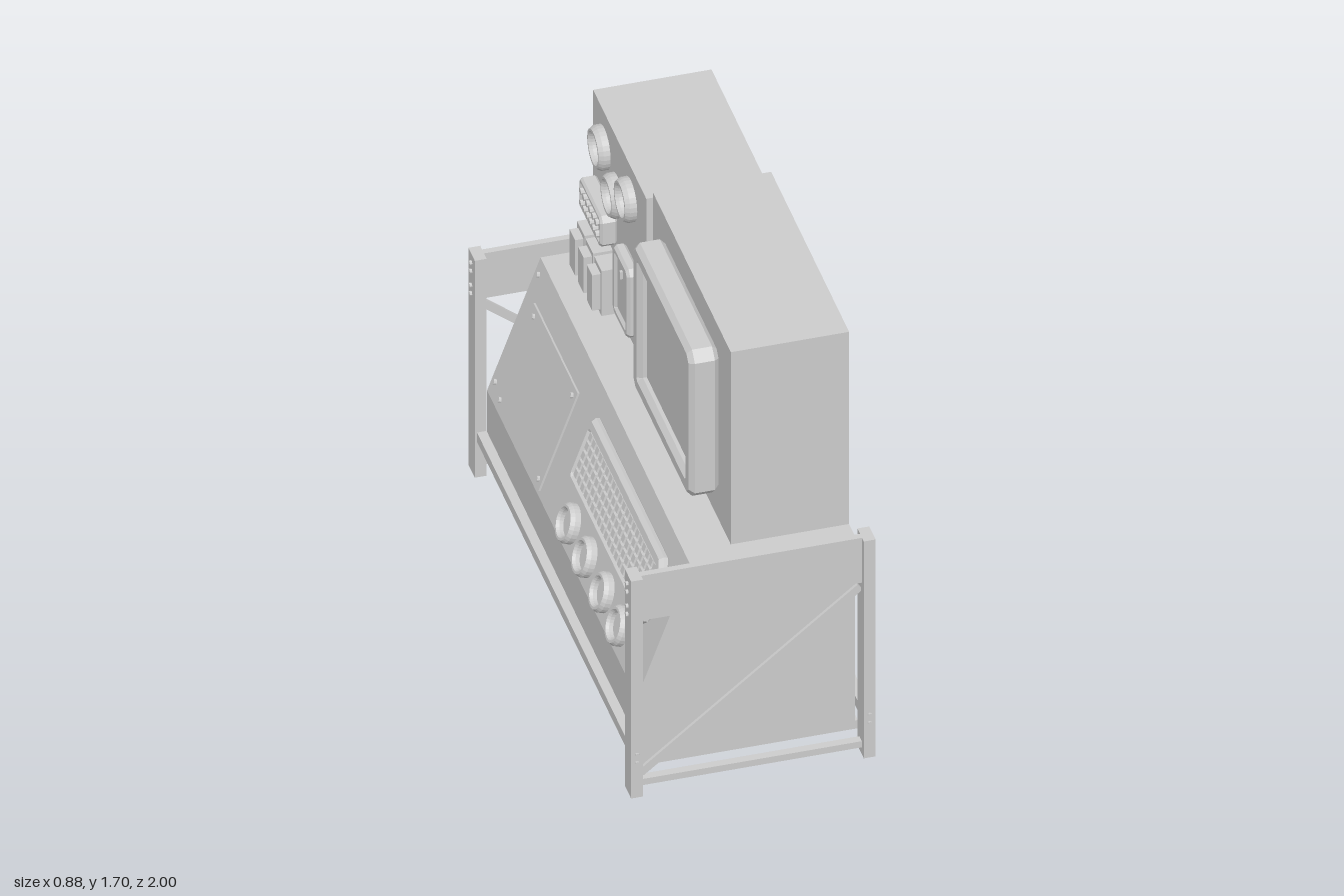
import * as THREE from 'three';

const grey = new THREE.MeshStandardMaterial({ color: 0xcccccc, flatShading: true });
const smooth = new THREE.MeshStandardMaterial({ color: 0xcccccc });

function add(parent, name, geometry, x = 0, y = 0, z = 0, material = grey) {
  const mesh = new THREE.Mesh(geometry, material);
  mesh.name = name;
  mesh.position.set(x, y, z);
  parent.add(mesh);
  return mesh;
}

// Box given by its minimum and maximum corners
function span(parent, name, x0, x1, y0, y1, z0, z1) {
  return add(parent, name, new THREE.BoxGeometry(x1 - x0, y1 - y0, z1 - z0),
    (x0 + x1) / 2, (y0 + y1) / 2, (z0 + z1) / 2);
}

// Working plane: local x runs along +z, local y along `up`, local z points outwards to -x
function facePlane(parent, name, x, y, up) {
  const group = new THREE.Group();
  const along = new THREE.Vector3(0, 0, 1);
  group.name = name;
  group.applyMatrix4(new THREE.Matrix4().makeBasis(along, up, along.clone().cross(up)));
  group.position.set(x, y, 0);
  parent.add(group);
  return group;
}

// Rectangle outline with cut corners
function cutRect(target, w, h, c) {
  const a = w / 2, b = h / 2;
  return target.setFromPoints([[-a + c, -b], [a - c, -b], [a, -b + c], [a, b - c],
    [a - c, b], [-a + c, b], [-a, b - c], [-a, -b + c]].map(p => new THREE.Vector2(...p)));
}

// Bevelled ring frame; outer size w x h, total depth d
function frameGeometry(w, h, border, d, bevel, cut) {
  const shape = cutRect(new THREE.Shape(), w - 2 * bevel, h - 2 * bevel, cut);
  shape.holes.push(cutRect(new THREE.Path(), w - 2 * border, h - 2 * border, cut * 0.4));
  const g = new THREE.ExtrudeGeometry(shape, { depth: d - 2 * bevel, bevelEnabled: true,
    bevelThickness: bevel, bevelSize: bevel, bevelSegments: 1 });
  return g.translate(0, 0, bevel);
}

// Round bezel with a recessed dial, standing on a face plane
function gauge(parent, name, x, y, r) {
  const profile = [[0.72, 0], [1, 0], [1, 0.3], [0.88, 0.5], [0.76, 0.5], [0.68, 0.35], [0.68, 0]]
    .map(([a, b]) => new THREE.Vector2(a * r, b * r));
  const ring = add(parent, name + 'Bezel', new THREE.LatheGeometry(profile, 28), x, y, 0);
  ring.rotation.x = Math.PI / 2;
  const dial = add(parent, name + 'Dial', new THREE.CylinderGeometry(r * 0.7, r * 0.7, 0.01, 28), x, y, 0.005, smooth);
  dial.rotation.x = Math.PI / 2;
}

function bolt(parent, x, y, z, axis, r = 0.009, h = 0.012) {
  const b = add(parent, 'bolt', new THREE.CylinderGeometry(r, r, h, 8), x, y, z);
  if (axis === 'x') b.rotation.z = Math.PI / 2;
  else b.rotation.x = Math.PI / 2;
}

export function createModel() {
  const model = new THREE.Group();
  model.name = 'controlConsole';

  // Desk body with sloping control face
  const side = new THREE.Shape([[-0.39, 0.07], [0.385, 0.07], [0.385, 0.885], [-0.2, 0.885], [-0.39, 0.36]]
    .map(p => new THREE.Vector2(...p)));
  add(model, 'deskBody', new THREE.ExtrudeGeometry(side, { depth: 1.835, bevelEnabled: false }), 0, 0, -0.92);

  // Two upper cabinets
  span(model, 'screenCabinet', -0.035, 0.385, 0.885, 1.7, -0.115, 0.84);
  span(model, 'meterCabinet', -0.035, 0.385, 0.885, 1.615, -0.845, -0.195);

  // Support frame: posts, end boards, low rails, braces, long rails
  for (const e of [1, -1]) {
    const end = new THREE.Group();
    end.name = e > 0 ? 'frontEndFrame' : 'backEndFrame';
    model.add(end);
    for (const s of [1, -1]) {
      add(end, 'post', new THREE.BoxGeometry(0.042, 0.92, 0.078), s * 0.413, 0.46, e * 0.957);
      for (const y of [0.147, 0.182]) bolt(end, s * 0.413, y, e * 0.996, 'z', 0.008, e > 0 ? 0.014 : 0.005);
    }
    for (const y of [0.755, 0.79, 0.85, 0.885]) bolt(end, -0.437, y, e * 0.957, 'x');
    add(end, 'endBoard', new THREE.BoxGeometry(0.785, 0.19, 0.024), 0, 0.825, e * 0.962);
    add(end, 'lowRail', new THREE.BoxGeometry(0.785, 0.026, 0.03), 0, 0.043, e * 0.957);
    const brace = add(end, 'diagonalBrace', new THREE.BoxGeometry(1.0, 0.03, 0.012), 0, 0.39, e * 0.957);
    brace.rotation.z = e * Math.atan2(0.63, 0.78);
  }
  for (const s of [1, -1])
    add(model, 'longRail', new THREE.BoxGeometry(0.034, 0.04, 1.85), s * 0.409, 0.17, 0);
  span(model, 'backFlange', 0.383, 0.394, 0.07, 0.105, -0.92, 0.915);

  // Sloping control face
  const slope = facePlane(model, 'controlFace', -0.39, 0.36, new THREE.Vector3(0.19, 0.525, 0).normalize());
  add(slope, 'coverPlate', new THREE.BoxGeometry(0.54, 0.41, 0.008), -0.56, 0.225, 0.004);
  for (const x of [-0.79, -0.32]) for (const y of [0.05, 0.4]) bolt(slope, x, y, 0.012, 'z', 0.011);
  for (const x of [-0.885, 0.865]) for (const y of [0.06, 0.51]) bolt(slope, x, y, 0.005, 'z', 0.011);
  [0.01, 0.21, 0.42, 0.62].forEach(x => gauge(slope, 'deskGauge', x, 0.095, 0.072));

  // Keyboard with key grid
  const keyboard = new THREE.Group();
  keyboard.name = 'keyboard';
  keyboard.position.set(0.355, 0.345, 0);
  slope.add(keyboard);
  add(keyboard, 'keyboardFrame', frameGeometry(0.91, 0.28, 0.04, 0.042, 0.014, 0.03));
  add(keyboard, 'keyboardTray', new THREE.BoxGeometry(0.84, 0.21, 0.014), 0, 0, 0.007);
  const key = new THREE.CylinderGeometry(0.019, 0.025, 0.022, 4, 1).rotateY(Math.PI / 4).rotateX(Math.PI / 2);
  for (let i = 0; i < 20; i++)
    for (let j = 0; j < 5; j++)
      add(keyboard, 'key', key, (i - 9.5) * 0.041, (j - 2) * 0.038, 0.025);

  // Display screen on the tall cabinet
  const upper = facePlane(model, 'cabinetFace', -0.035, 0, new THREE.Vector3(0, 1, 0));
  add(upper, 'screenFrame', frameGeometry(0.71, 0.62, 0.055, 0.107, 0.018, 0.025), 0.353, 1.3, 0);
  add(upper, 'screen', new THREE.BoxGeometry(0.61, 0.52, 0.075), 0.353, 1.3, 0.0375);

  // Meters, switch box, socket strip and plug modules on the short cabinet
  [[-0.71, 1.47], [-0.55, 1.38], [-0.385, 1.48]].forEach(([x, y]) => gauge(upper, 'meter', x, y, 0.08));
  add(upper, 'switchBoxFrame', frameGeometry(0.19, 0.29, 0.025, 0.045, 0.01, 0.015), -0.365, 1.11, 0);
  add(upper, 'switchBoxPanel', new THREE.BoxGeometry(0.15, 0.25, 0.035), -0.365, 1.11, 0.0175);
  add(upper, 'switchLever', new THREE.BoxGeometry(0.012, 0.03, 0.012), -0.365, 1.18, 0.039);
  add(upper, 'socketStrip', frameGeometry(0.27, 0.13, 0.018, 0.06, 0.008, 0.015), -0.68, 1.225, 0);
  add(upper, 'socketBase', new THREE.BoxGeometry(0.24, 0.1, 0.048), -0.68, 1.225, 0.024);
  for (let i = 0; i < 6; i++)
    for (const y of [1.2, 1.25]) bolt(upper, -0.68 + (i - 2.5) * 0.037, y, 0.056, 'z', 0.013, 0.024);
  for (const x of [-0.755, -0.65, -0.545]) {
    add(upper, 'plugModule', new THREE.BoxGeometry(0.09, 0.19, 0.07), x, 1.01, 0.035);
    add(upper, 'plugCap', new THREE.BoxGeometry(0.066, 0.15, 0.032), x, 1.01, 0.084);
  }

  // Ventilation louvres on the end of the short cabinet
  for (let i = 0; i < 7; i++) {
    const slat = add(model, 'louvre', new THREE.BoxGeometry(0.28, 0.024, 0.01), 0.14, 0.96 + i * 0.047, -0.846);
    slat.rotation.x = 0.35;
  }
  return model;
}
